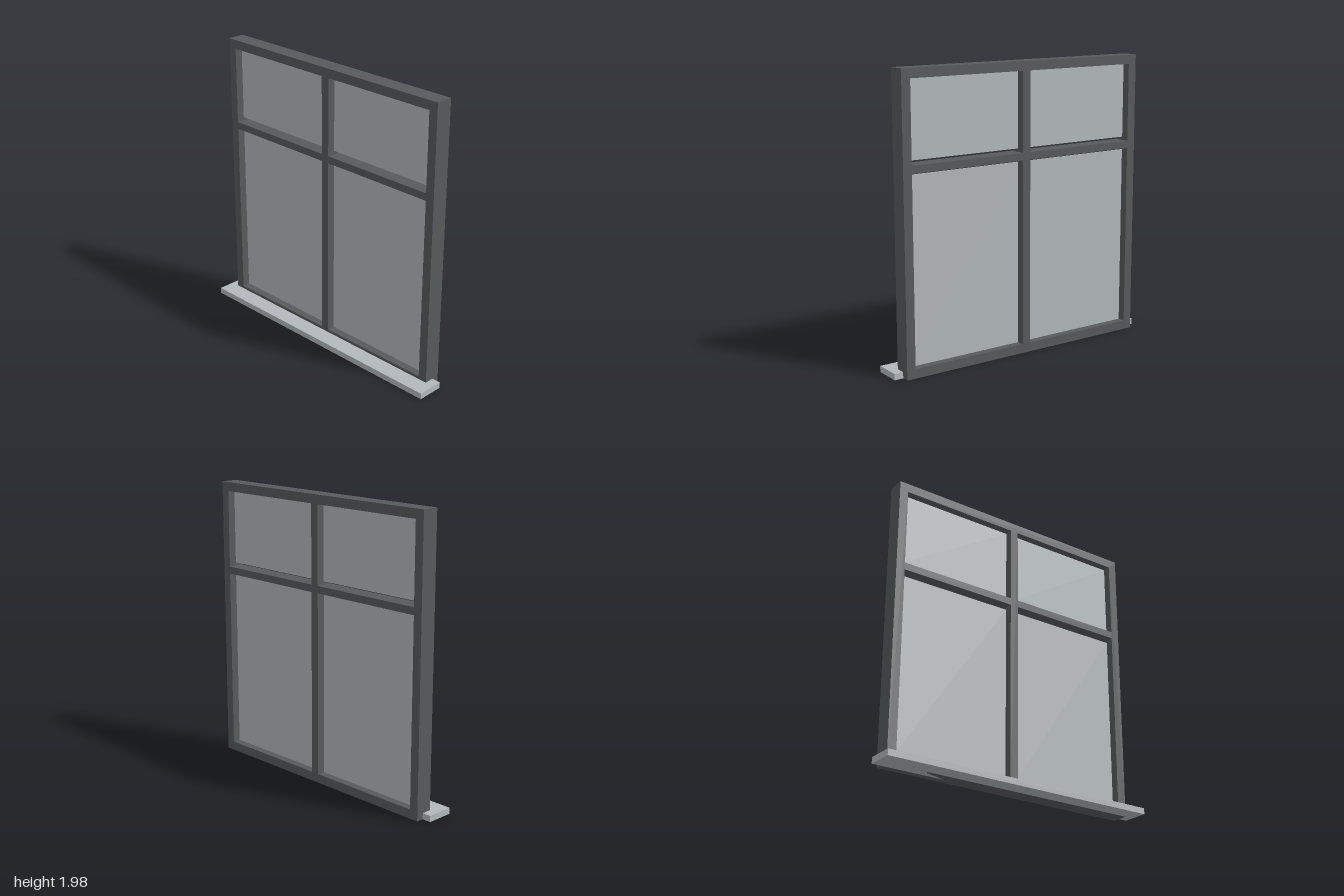
import * as THREE from 'three';

export function createModel() {
  const model = new THREE.Group();
  model.name = 'window';

  const frameGrey = new THREE.MeshStandardMaterial({ color: 0x565a5c });
  frameGrey.name = 'dark grey frame';
  const paleGrey = new THREE.MeshStandardMaterial({ color: 0xb2b8bb });
  paleGrey.name = 'pale grey';

  // Box given by its lower and upper limits on each axis
  function box(name, material, [x0, x1], [y0, y1], [z0, z1]) {
    const mesh = new THREE.Mesh(new THREE.BoxGeometry(x1 - x0, y1 - y0, z1 - z0), material);
    mesh.position.set((x0 + x1) / 2, (y0 + y1) / 2, (z0 + z1) / 2);
    mesh.name = name;
    model.add(mesh);
  }

  const W = 0.9375, H = 1.98, T = 0.0625; // frame half width, height, bar width
  const inner = W - T, half = 0.03;       // opening half width, mullion half width
  const depth = [-0.12, 0];
  const glass = [-0.065, -0.055];

  // Outer frame: one extruded rectangle with a rectangular opening
  const outline = new THREE.Shape([
    new THREE.Vector2(-W, 0), new THREE.Vector2(W, 0),
    new THREE.Vector2(W, H), new THREE.Vector2(-W, H),
  ]);
  outline.holes.push(new THREE.Path([
    new THREE.Vector2(-inner, T), new THREE.Vector2(-inner, H - T),
    new THREE.Vector2(inner, H - T), new THREE.Vector2(inner, T),
  ]));
  const frame = new THREE.Mesh(
    new THREE.ExtrudeGeometry(outline, { depth: 0.12, bevelEnabled: false }), frameGrey);
  frame.position.z = depth[0];
  frame.name = 'outerFrame';
  model.add(frame);

  // Centre mullion
  box('mullion', frameGrey, [-half, half], [T, H - T], depth);

  // Transoms and panes on both sides, with a narrow gap around each transom
  for (const [side, span] of [['right', [-inner, -half]], ['left', [half, inner]]]) {
    box(side + 'Transom', frameGrey, span, [1.33, 1.38], depth);
    box(side + 'LowerPane', paleGrey, span, [T, 1.313], glass);
    box(side + 'UpperPane', paleGrey, span, [1.403, H - T], glass);
  }

  // Projecting sill
  box('sill', paleGrey, [-1, 1], [0, 0.042], [-0.068, 0.12]);

  return model;
}
